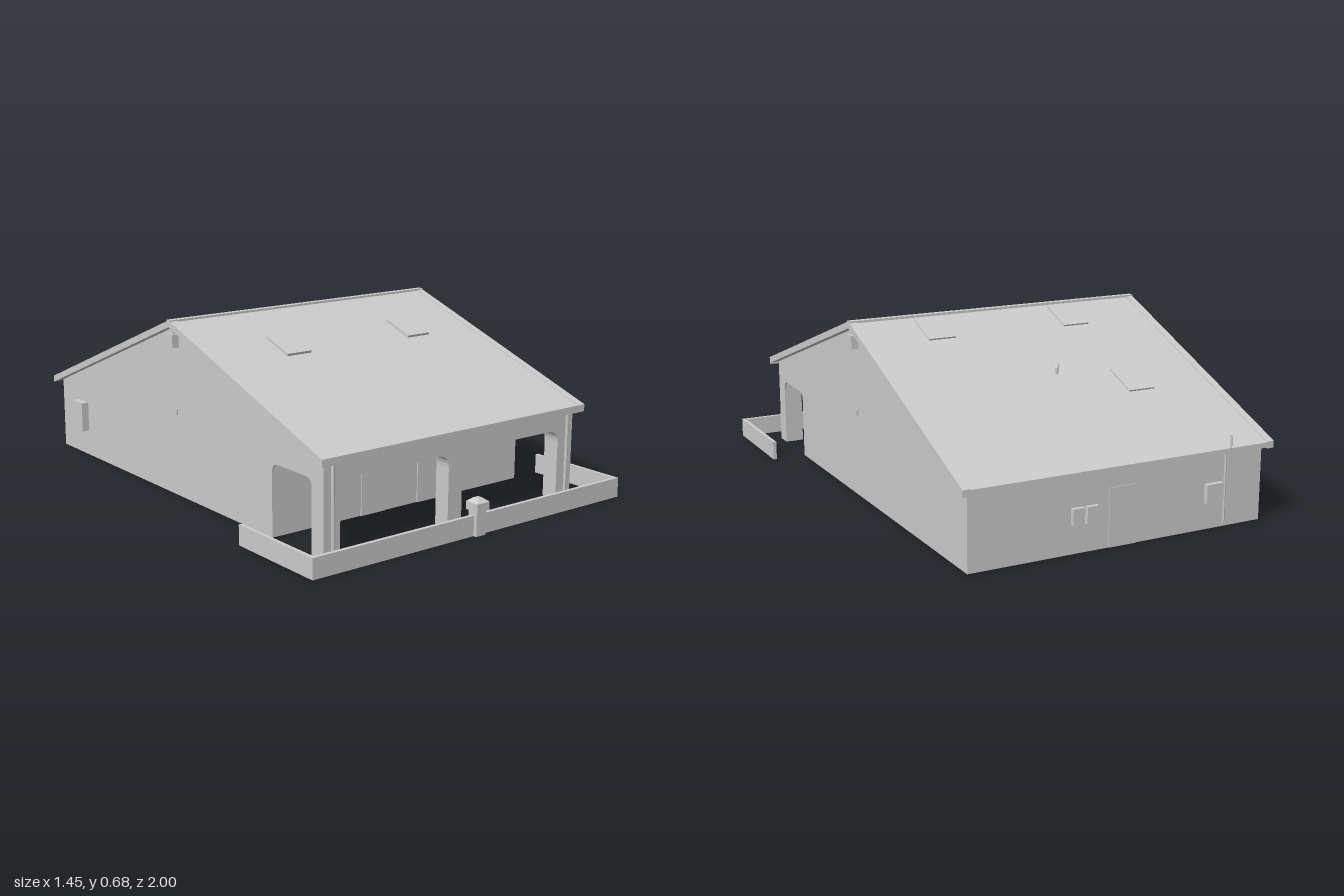
import * as THREE from 'three';

const mat = new THREE.MeshStandardMaterial({ color: 0xcccccc, flatShading: true, side: THREE.DoubleSide });

// Roof top line: ridge at z = -0.045, longer slope at the back
const RIDGE_Z = -0.045, RIDGE_Y = 0.68, FRONT_SLOPE = 0.344, BACK_SLOPE = 0.4, THICK = 0.022;
const roofY = (z) => RIDGE_Y - (z > RIDGE_Z ? (z - RIDGE_Z) * FRONT_SLOPE : (RIDGE_Z - z) * BACK_SLOPE);
const underY = (z) => roofY(z) - THICK;

export function createModel() {
  const house = new THREE.Group();
  house.name = 'house';

  const add = (name, geometry, x = 0, y = 0, z = 0) => {
    const mesh = new THREE.Mesh(geometry, mat);
    mesh.name = name;
    mesh.position.set(x, y, z);
    house.add(mesh);
    return mesh;
  };
  // Box given by its extents
  const box = (name, x0, x1, y0, y1, z0, z1) =>
    add(name, new THREE.BoxGeometry(x1 - x0, y1 - y0, z1 - z0), (x0 + x1) / 2, (y0 + y1) / 2, (z0 + z1) / 2);
  const extrude = (shape, depth) => new THREE.ExtrudeGeometry(shape, { depth, bevelEnabled: false, curveSegments: 6 });
  // Extrusion of a (z, y) outline across x, centred on x
  const across = (name, shape, x, width) =>
    add(name, extrude(shape, width).rotateY(-Math.PI / 2), x + width / 2);
  const outline = (points) => new THREE.Shape(points.map(([a, b]) => new THREE.Vector2(a, b)));
  // Opening with rounded top corners, drawn as a notch from the ground
  const archNotch = (shape, a, b, top, r) => {
    shape.lineTo(a, 0);
    shape.lineTo(a, top - r);
    shape.quadraticCurveTo(a, top, a + r, top);
    shape.lineTo(b - r, top);
    shape.quadraticCurveTo(b, top, b, top - r);
    shape.lineTo(b, 0);
  };

  // Roof slab, closed along the ridge
  const roofEnds = [[-0.995, roofY(-0.995)], [RIDGE_Z, RIDGE_Y], [0.885, roofY(0.885)]];
  const roofLine = (lift, drop) => outline([
    ...roofEnds.map(([z, y]) => [z, y + lift]),
    ...roofEnds.map(([z, y]) => [z, y - drop]).reverse(),
  ]);
  across('roof', roofLine(-0.003, THICK), 0, 1.24);
  for (const s of [-1, 1]) across('roofEdgeTrim', roofLine(0, THICK + 0.004), s * 0.605, 0.03);
  box('ridgeCap', -0.62, 0.62, 0.668, 0.681, RIDGE_Z - 0.012, RIDGE_Z + 0.012);
  box('frontGutter', -0.62, 0.62, 0.333, 0.36, 0.868, 0.885);

  // Gable walls with the porch side openings
  const gable = new THREE.Shape();
  gable.moveTo(-0.965, 0);
  archNotch(gable, 0.565, 0.79, 0.27, 0.035);
  gable.lineTo(0.855, 0);
  gable.lineTo(0.855, underY(0.855));
  gable.lineTo(RIDGE_Z, underY(RIDGE_Z));
  gable.lineTo(-0.965, underY(-0.965));
  for (const s of [-1, 1]) across('gableWall', gable, s * 0.586, 0.008);

  // Front and back house walls, open underneath
  box('backWall', -0.59, 0.59, 0, underY(-0.965), -0.965, -0.957);
  box('frontWall', -0.59, 0.59, 0, underY(0.565), 0.557, 0.565);

  // Porch arcade
  const arcade = new THREE.Shape();
  arcade.moveTo(-0.59, 0);
  archNotch(arcade, -0.52, -0.035, 0.27, 0.05);
  archNotch(arcade, 0.03, 0.515, 0.27, 0.05);
  arcade.lineTo(0.59, 0);
  arcade.lineTo(0.59, underY(0.855));
  arcade.lineTo(-0.59, underY(0.855));
  add('porchArcade', extrude(arcade, 0.065), 0, 0, 0.79);

  // Doors
  box('frontDoorRight', -0.195, -0.08, 0, 0.22, 0.565, 0.569);
  box('frontDoorLeft', 0.075, 0.19, 0, 0.22, 0.565, 0.569);
  box('backDoor', -0.06, 0.05, 0, 0.215, -0.968, -0.965);

  // Downpipes on the porch corners
  for (const s of [-1, 1])
    add('downpipe', new THREE.CylinderGeometry(0.006, 0.006, 0.335, 8), s * 0.556, 0.1675, 0.861);

  // Skylights lying in the roof slopes
  const skylight = (x, z, lift) => {
    const slope = z > RIDGE_Z ? FRONT_SLOPE : -BACK_SLOPE;
    const geometry = new THREE.BoxGeometry(0.11, 0.01, 0.135 * Math.hypot(1, slope));
    add('skylight', geometry, x, roofY(z) + lift, z).rotation.x = Math.atan(slope);
  };
  skylight(-0.265, 0.222, 0.002);
  skylight(0.315, 0.222, 0.002);
  skylight(-0.265, -0.138, -0.002);
  skylight(0.31, -0.138, -0.002);
  skylight(-0.295, -0.563, -0.002);

  // Roof vent
  add('roofVent', new THREE.CylinderGeometry(0.006, 0.006, 0.045, 10), -0.02, 0.518, -0.48);
  add('roofVentCap', new THREE.CylinderGeometry(0.003, 0.011, 0.018, 10), -0.02, 0.538, -0.48);

  // Gable lamps with a small socket below
  for (const s of [-1, 1]) {
    add('gableLamp', new THREE.BoxGeometry(0.03, 0.05, 0.042), s * 0.603, 0.603, RIDGE_Z);
    add('gableLampCap', new THREE.BoxGeometry(0.018, 0.02, 0.022), s * 0.598, 0.637, RIDGE_Z);
    add('gableSocket', new THREE.BoxGeometry(0.008, 0.022, 0.012), s * 0.593, 0.328, RIDGE_Z);
  }

  // Utility boxes on the back and side walls
  box('meterBox', -0.415, -0.345, 0.1, 0.17, -0.985, -0.965);
  box('utilityBox', 0.155, 0.2, 0.105, 0.165, -0.982, -0.965);
  box('utilityBox', 0.1, 0.145, 0.105, 0.165, -0.982, -0.965);
  box('sideCabinet', -0.62, -0.59, 0.105, 0.225, -0.83, -0.75);

  // Service pipe running up the back wall and past the eave
  const pipe = new THREE.CurvePath();
  const bends = [[0.01, -0.969], [0.27, -0.969], [0.295, -0.997], [0.345, -0.997]]
    .map(([y, z]) => new THREE.Vector3(-0.43, y, z));
  for (let i = 1; i < bends.length; i++) pipe.add(new THREE.LineCurve3(bends[i - 1], bends[i]));
  add('servicePipe', new THREE.TubeGeometry(pipe, 48, 0.004, 6));

  // Low garden wall around the porch
  box('gardenWallFront', -0.727, 0.727, 0, 0.075, 0.96, 0.975);
  for (const s of [-1, 1])
    add('gardenWallSide', new THREE.BoxGeometry(0.014, 0.075, 0.4), s * 0.72, 0.0375, 0.76);

  // Mailbox post
  box('mailboxPost', -0.022, 0.022, 0, 0.095, 0.947, 0.988);
  box('mailbox', -0.029, 0.029, 0.092, 0.122, 0.94, 0.997);
  add('mailboxCap', new THREE.CylinderGeometry(0.015, 0.041, 0.014, 4).rotateY(Math.PI / 4), 0, 0.129, 0.9685);

  return house;
}
